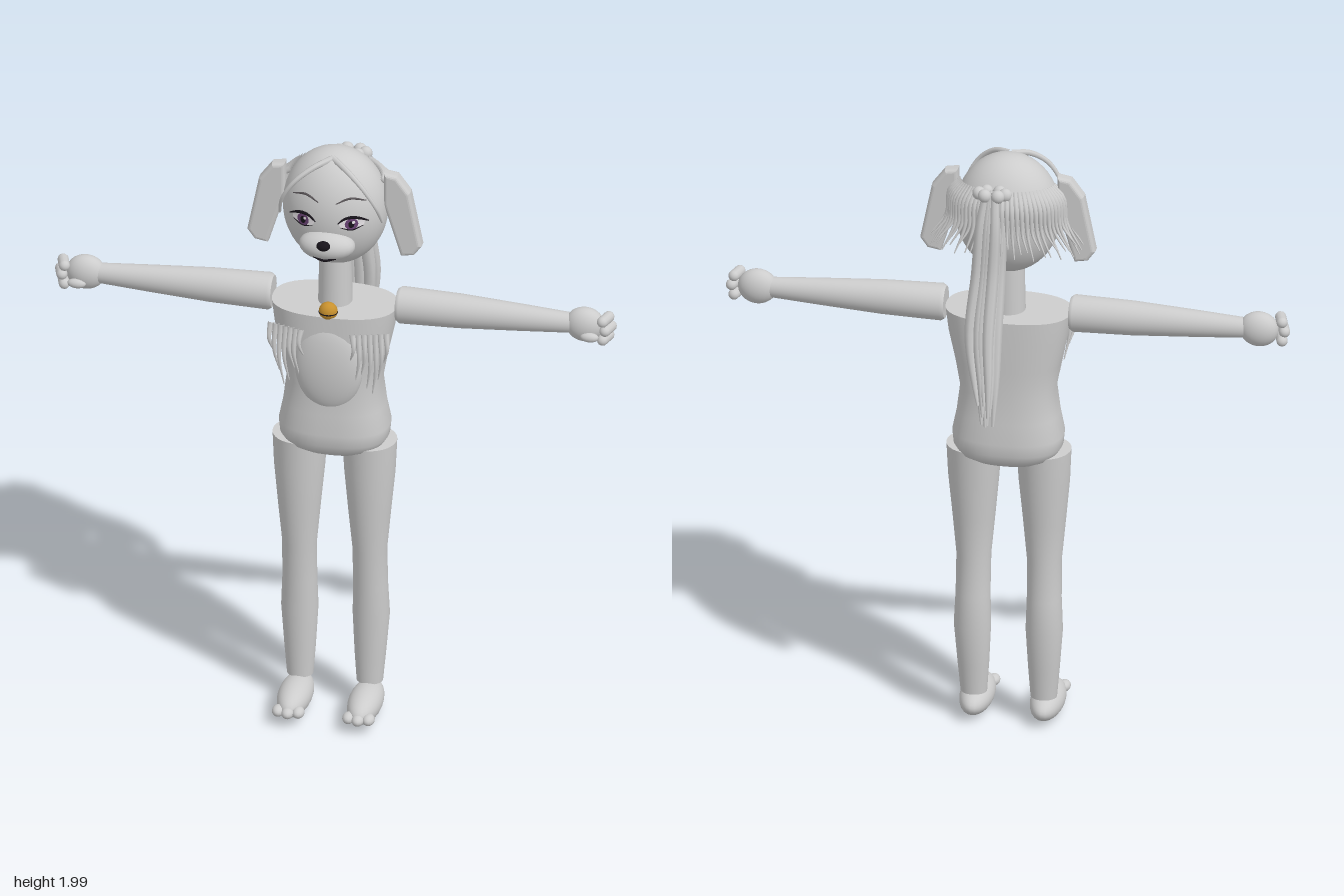
import * as THREE from 'three';
import { mergeGeometries } from 'three/addons/utils/BufferGeometryUtils.js';

const mat = (name, color, side = THREE.FrontSide) => {
  const m = new THREE.MeshStandardMaterial({ color, side });
  m.name = name;
  return m;
};
const V = (x, y, z) => new THREE.Vector3(x, y, z);
const HEAD = { y: 1.8, z: 0.02, rx: 0.168, ry: 0.2, rz: 0.14 };

// depth of the face surface at a given x, y
function faceZ(x, y) {
  const k = 1 - (x / HEAD.rx) ** 2 - ((y - HEAD.y) / HEAD.ry) ** 2;
  return HEAD.z + HEAD.rz * Math.sqrt(Math.max(0, k));
}

// closed body from horizontal rings: [y, centre x, centre z, radius x, radius z]
function loft(rings, power = 2, n = 36) {
  const pos = [], idx = [];
  const point = ([y, cx, cz, rx, rz], j) => {
    const a = (j / n) * Math.PI * 2, c = Math.cos(a), s = Math.sin(a);
    const f = (t) => Math.sign(t) * Math.abs(t) ** (2 / power);
    pos.push(cx + rx * f(c), y, cz + rz * f(s));
  };
  rings.forEach((r) => { for (let j = 0; j < n; j++) point(r, j); });
  for (let i = 0; i < rings.length - 1; i++) for (let j = 0; j < n; j++) {
    const a = i * n + j, b = i * n + (j + 1) % n;
    idx.push(a, a + n, b, b, a + n, b + n);
  }
  [rings[0], rings[rings.length - 1]].forEach((r, end) => {
    const base = pos.length / 3;
    for (let j = 0; j < n; j++) point(r, j);
    pos.push(r[1], r[0], r[2]);
    for (let j = 0; j < n; j++) {
      const a = base + j, b = base + (j + 1) % n;
      idx.push(...(end ? [base + n, b, a] : [base + n, a, b]));
    }
  });
  const g = new THREE.BufferGeometry();
  g.setAttribute('position', new THREE.Float32BufferAttribute(pos, 3));
  g.setIndex(idx);
  g.computeVertexNormals();
  return g;
}

// tapering lock of hair along a curve; width(t) scales the radius
function lock(points, r, width = (t) => 1 - 0.85 * t, seg = 12, sides = 7) {
  const path = new THREE.CatmullRomCurve3(points);
  const g = new THREE.TubeGeometry(path, seg, r, sides), p = g.attributes.position, v = V(0, 0, 0);
  for (let i = 0; i < p.count; i++) {
    const t = Math.floor(i / (sides + 1)) / seg, c = path.getPointAt(t);
    v.fromBufferAttribute(p, i).sub(c).multiplyScalar(width(t)).add(c);
    p.setXYZ(i, v.x, v.y, v.z);
  }
  return g;
}

const ball = (x, y, z, rx, ry = rx, rz = rx, n = 24) =>
  new THREE.SphereGeometry(1, n, Math.ceil(n * 0.7)).scale(rx, ry, rz).translate(x, y, z);

// thin disc laid on the face
function faceDisc(x, y, rx, ry, lift) {
  const g = new THREE.CircleGeometry(1, 24).scale(rx, ry, 1).translate(x, y, 0), p = g.attributes.position;
  for (let i = 0; i < p.count; i++) p.setZ(i, faceZ(p.getX(i), p.getY(i)) + lift);
  g.computeVertexNormals();
  return g;
}
const faceLine = (pts, r, width) => lock(pts.map(([x, y]) => V(x, y, faceZ(x, y) + 0.003)), r, width, 12, 6);

export function createModel() {
  const root = new THREE.Group();
  root.name = 'dogGirl';
  const grey = mat('paleGrey', 0xcccccc), dark = mat('nearBlack', 0x17131a), white = mat('eyeWhite', 0xf2eef2);
  const purple = mat('irisPurple', 0x6a4374), gold = mat('bellGold', 0xc8912e), brown = mat('browGrey', 0x5a5558);
  const add = (name, geo, material = grey) => {
    const m = new THREE.Mesh(geo, material);
    m.name = name;
    root.add(m);
    return m;
  };

  // torso, neck and chest patch
  add('torso', loft([
    [0.94, 0, 0.025, 0.115, 0.085], [0.96, 0, 0.025, 0.155, 0.11], [0.99, 0, 0.027, 0.173, 0.123],
    [1.03, 0, 0.027, 0.177, 0.125], [1.1, 0, 0.028, 0.163, 0.119], [1.19, 0, 0.028, 0.152, 0.113],
    [1.28, 0, 0.03, 0.168, 0.117], [1.38, 0, 0.03, 0.19, 0.12], [1.457, 0, 0.03, 0.2, 0.12],
  ], 2.5, 48));
  add('neck', new THREE.CylinderGeometry(0.05, 0.055, 0.22, 28).translate(0, 1.54, 0.025));
  add('chestPatch', ball(0, 1.275, 0.125, 0.11, 0.16, 0.042, 32));

  // head, muzzle and nose
  add('head', ball(0, HEAD.y, HEAD.z, HEAD.rx, HEAD.ry, HEAD.rz, 40));
  add('muzzle', ball(0, 1.722, 0.148, 0.09, 0.049, 0.056));
  add('nose', ball(0, 1.748, 0.207, 0.022, 0.016, 0.017, 16), dark);
  add('mouth', lock([V(-0.036, 1.697, 0.187), V(0, 1.69, 0.196), V(0.036, 1.697, 0.187)], 0.004, () => 1), dark);

  // bell with its slot
  add('bell', ball(0, 1.473, 0.132, 0.03, 0.03, 0.026), gold);
  add('bellSlot', new THREE.TorusGeometry(0.029, 0.002, 6, 28).rotateX(Math.PI / 2).scale(1, 1, 0.9)
    .translate(0, 1.47, 0.132), dark);

  for (const s of [1, -1]) {
    const side = s > 0 ? 'left' : 'right';

    // eyes, lashes and brows
    const ex = s * 0.078;
    add(side + 'EyeWhite', faceDisc(ex, 1.804, 0.038, 0.02, 0.002), white);
    add(side + 'Iris', faceDisc(ex, 1.804, 0.02, 0.02, 0.004), purple);
    add(side + 'Pupil', faceDisc(ex, 1.804, 0.009, 0.012, 0.006), dark);
    add(side + 'EyeGlint', faceDisc(ex + 0.007, 1.812, 0.005, 0.005, 0.008), white);
    const lid = (t) => 0.35 + 0.65 * Math.sin(Math.PI * t);
    add(side + 'Lashes', mergeGeometries([
      faceLine([[s * 0.036, 1.806], [s * 0.055, 1.822], [s * 0.08, 1.827], [s * 0.105, 1.82], [s * 0.127, 1.806]], 0.005, lid),
      faceLine([[s * 0.045, 1.792], [s * 0.078, 1.783], [s * 0.112, 1.794]], 0.0025, lid),
    ]), dark);
    add(side + 'Brow', faceLine([[s * 0.028, 1.872], [s * 0.07, 1.888], [s * 0.118, 1.874]], 0.004, lid), brown);

    // hanging ear
    const ear = new THREE.Shape([[0.17, 1.925], [0.195, 1.92], [0.232, 1.87], [0.268, 1.69], [0.25, 1.665],
      [0.222, 1.66], [0.17, 1.83]].map(([x, y]) => new THREE.Vector2(s * x, y)));
    add(side + 'Ear', new THREE.ExtrudeGeometry(ear, { depth: 0.02, bevelThickness: 0.014, bevelSize: 0.012, bevelSegments: 4 })
      .translate(0, 0, 0.015));

    // swept fringe lock
    add(side + 'Fringe', lock([V(0, 1.985, 0.06), V(s * 0.055, 1.968, 0.105), V(s * 0.11, 1.925, 0.13),
      V(s * 0.15, 1.86, 0.125), V(s * 0.165, 1.79, 0.09)], 0.011, (t) => 1 - 0.6 * t, 24));

    // arm, palm and curled fingers
    const arm = loft([[0.2, 0, 0, 0.052, 0.05], [0.212, 0, 0, 0.06, 0.058], [0.4, 0, 0, 0.056, 0.052],
      [0.6, 0, 0, 0.044, 0.04], [0.76, 0, 0, 0.033, 0.03]]).rotateZ(-s * Math.PI / 2);
    add(side + 'Arm', arm.translate(0, 1.46, 0.022));
    add(side + 'Palm', ball(s * 0.803, 1.46, 0.022, 0.063, 0.058, 0.042));
    add(side + 'Fingers', mergeGeometries([1.427, 1.46, 1.492].map((y, i) =>
      new THREE.CapsuleGeometry(0.018, 0.04, 6, 12).rotateX(Math.PI / 2).rotateY(-s * 0.3)
        .translate(s * (i === 1 ? 0.88 : 0.872), y, 0.035))
      .concat(ball(s * 0.825, 1.435, 0.06, 0.03, 0.016, 0.016, 14))));

    // leg, foot and toes
    add(side + 'Leg', loft([[0.1, s * 0.112, 0.03, 0.042, 0.038], [0.2, s * 0.113, 0.027, 0.05, 0.045],
      [0.34, s * 0.115, 0.022, 0.059, 0.056], [0.45, s * 0.114, 0.027, 0.055, 0.055], [0.58, s * 0.113, 0.035, 0.055, 0.056],
      [0.72, s * 0.113, 0.037, 0.068, 0.068], [0.86, s * 0.113, 0.034, 0.081, 0.08], [0.972, s * 0.112, 0.032, 0.087, 0.087]]));
    add(side + 'Foot', ball(s * 0.113, 0.056, 0.097, 0.054, 0.05, 0.127));
    add(side + 'Toes', mergeGeometries([-1, 0, 1].map((k) =>
      ball(s * 0.113 + k * 0.032, 0.052, k ? 0.205 : 0.215, 0.02, 0.018, 0.027, 14))));

    // chest fur tufts
    const tufts = [];
    for (let i = 0; i < 7; i++) {
      const x = 0.19 - i * 0.017, len = [0.11, 0.17, 0.22, 0.2, 0.15, 0.17, 0.1][i];
      const z = 0.125 + i * 0.005;
      tufts.push(lock([V(s * (x - 0.005), 1.41, z), V(s * x, 1.41 - len * 0.5, z + 0.01),
        V(s * (x - 0.014), 1.41 - len, z - 0.005)], 0.011));
    }
    add(side + 'ChestFur', mergeGeometries(tufts));
  }

  // curtain of locks around the back of the head
  const locks = [];
  for (let i = 0; i < 36; i++) {
    const a = 0.08 + (i / 35) * (Math.PI - 0.16), c = Math.cos(a), s = Math.sin(a), v = 0.02 * Math.sin(i * 2.4);
    locks.push(lock([V(c * 0.145, 1.905 + 0.02 * s, HEAD.z - s * 0.118), V(c * 0.182, 1.875, HEAD.z - s * 0.15),
      V(c * 0.195, 1.79, HEAD.z - s * 0.155), V(c * 0.245, 1.7 + v + 0.03 * s, HEAD.z - 0.01 - s * 0.16)], 0.012));
  }
  add('backHair', mergeGeometries(locks));

  // ponytail bundle and its tie
  const tail = [];
  for (let i = 0; i < 11; i++) {
    const a = i * 2.4, q = i ? 0.6 + 0.4 * (i % 2) : 0, dx = Math.cos(a) * q, dz = Math.sin(a) * q;
    tail.push(lock([V(0.025 + dx * 0.02, 1.925, -0.11 + dz * 0.012), V(0.028 + dx * 0.035, 1.82, -0.128 + dz * 0.018),
      V(0.035 + dx * 0.038, 1.65, -0.138 + dz * 0.022), V(0.045 + dx * 0.045, 1.45, -0.175 + dz * 0.025),
      V(0.035 + dx * 0.035, 1.3, -0.197 + dz * 0.026), V(0.03 + dx * 0.025, 1.15 + 0.04 * (i % 3), -0.212 + dz * 0.022)],
    0.02, (t) => 0.75 + 0.3 * Math.sin(Math.PI * t) - 0.55 * t ** 4, 24, 8));
  }
  add('ponytail', mergeGeometries(tail));
  add('hairTie', mergeGeometries([0, 1, 2, 3, 4, 5].map((k) => {
    const a = (k / 6) * Math.PI * 2;
    return ball(0.027 + 0.042 * Math.cos(a), 1.92, -0.108 + 0.02 * Math.sin(a), 0.022, 0.022, 0.02, 14);
  })));

  return root;
}
